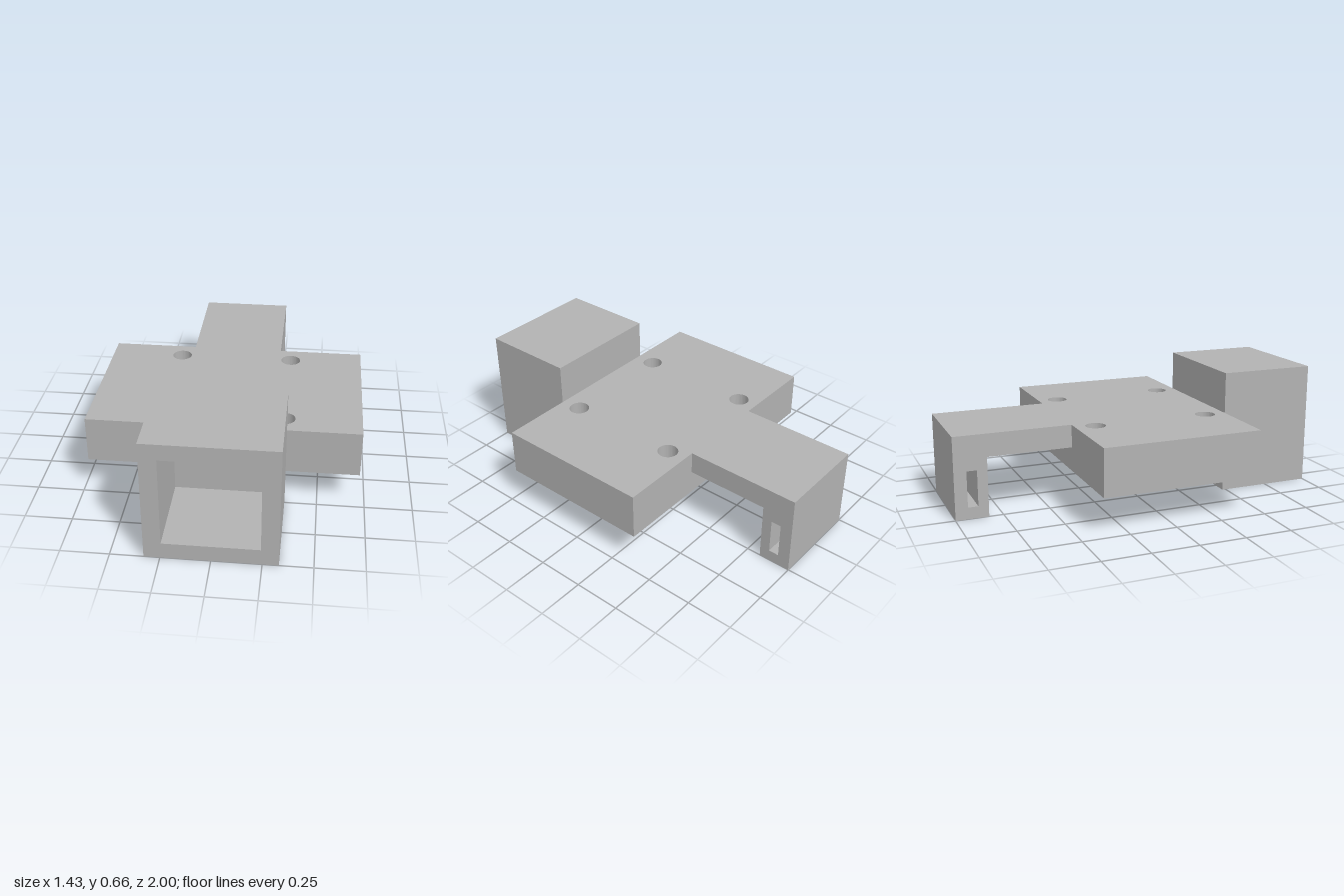
import * as THREE from 'three';
import { toCreasedNormals } from 'three/addons/utils/BufferGeometryUtils.js';

const polygon = (points, Type = THREE.Shape) => new Type(points.map(([x, y]) => new THREE.Vector2(x, y)));

const rect = (x0, y0, x1, y1, Type) => polygon([[x0, y0], [x1, y0], [x1, y1], [x0, y1]], Type);

// Extrusion along +z from 0, with round holes smoothed and corners kept sharp
function extrude(shape, depth) {
  const geometry = new THREE.ExtrudeGeometry(shape, { depth, bevelEnabled: false, curveSegments: 40 });
  return toCreasedNormals(geometry, 0.5);
}

export function createModel() {
  const group = new THREE.Group();
  const grey = new THREE.MeshStandardMaterial({ color: 0xb2b2b2 });
  grey.name = 'plain grey';

  const add = (name, geometry) => {
    const mesh = new THREE.Mesh(geometry, grey);
    mesh.name = name;
    group.add(mesh);
    return mesh;
  };

  // Mounting plate with four through holes (shape y runs towards the back)
  const plateShape = rect(-0.715, -0.48, 0.715, 0.374);
  for (const x of [-0.315, 0.315]) {
    for (const z of [-0.265, 0.367]) {
      plateShape.holes.push(new THREE.Path().absarc(x, -z, 0.054, 0, Math.PI * 2, true));
    }
  }
  add('mountingPlate', extrude(plateShape, 0.251).rotateX(-Math.PI / 2).translate(0, 0.19, 0));

  // Square socket: open at the front, closed by a thin back wall
  const socketShape = rect(-0.331, 0, 0.331, 0.661);
  socketShape.holes.push(rect(-0.243, 0.088, 0.243, 0.575, THREE.Path));
  add('socketWalls', extrude(socketShape, 0.46).translate(0, 0, 0.54));
  add('socketBack', new THREE.BoxGeometry(0.662, 0.661, 0.06).translate(0, 0.3305, 0.51));

  // Rear arm with a downturned end, slotted from side to side (profile in z, y)
  const armShape = polygon([
    [-0.374, 0.441], [-1, 0.441], [-1, 0], [-0.826, 0], [-0.826, 0.319], [-0.374, 0.319],
  ]);
  armShape.holes.push(rect(-0.934, 0.063, -0.88, 0.255, THREE.Path));
  add('rearHook', extrude(armShape, 0.504).translate(0, 0, -0.252).rotateY(-Math.PI / 2));

  return group;
}
